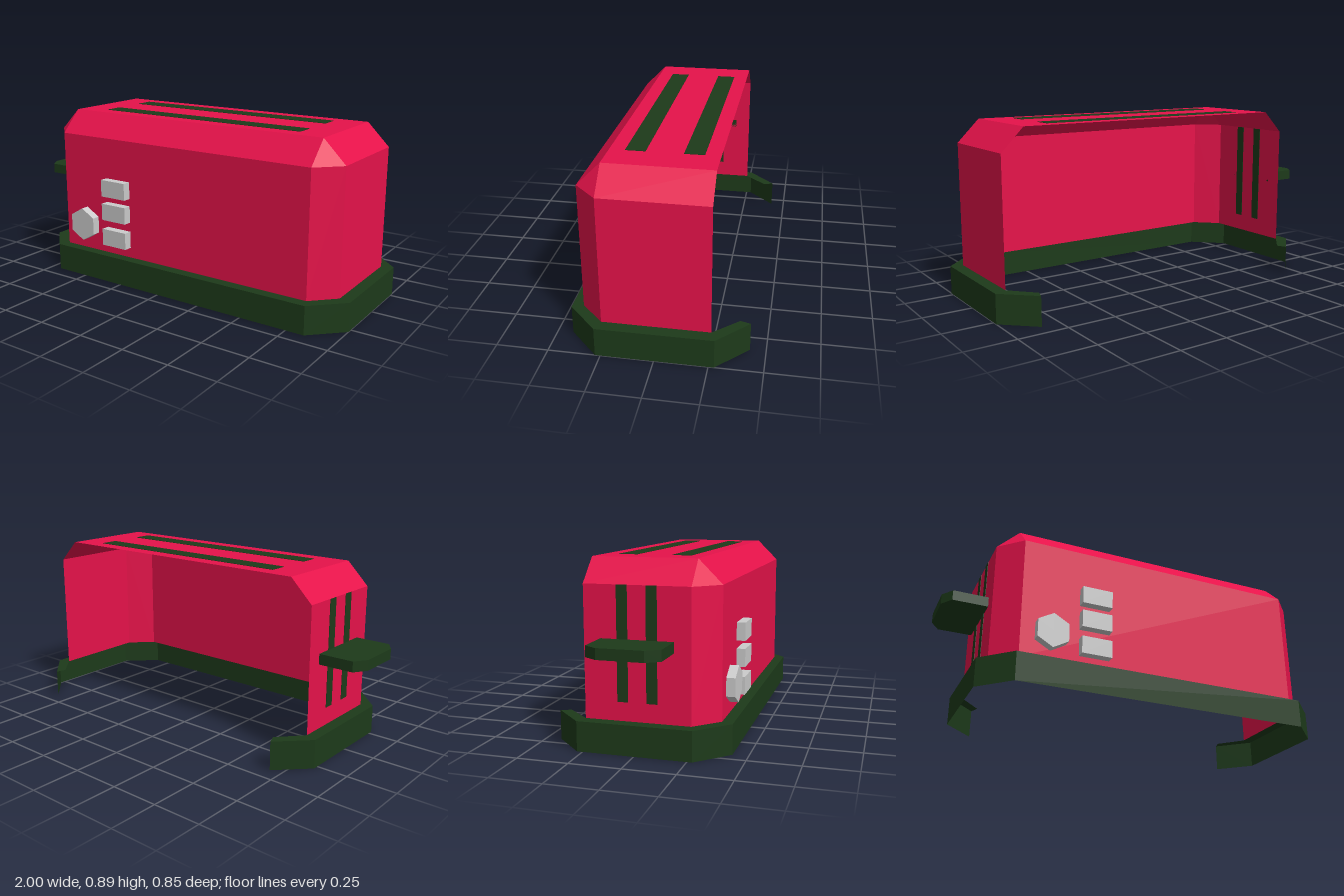
import * as THREE from 'three';

const mat = (color) => new THREE.MeshStandardMaterial({ color, flatShading: true, side: THREE.DoubleSide });

// Skin of quads between open rings; each ring is { y, pts: [[x, z], ...] }
function loft(rings) {
  const pos = [];
  for (let r = 0; r < rings.length - 1; r++) {
    const a = rings[r], b = rings[r + 1];
    for (let i = 0; i < a.pts.length - 1; i++) {
      const corner = (ring, k) => [ring.pts[k][0], ring.y, ring.pts[k][1]];
      const a0 = corner(a, i), a1 = corner(a, i + 1), b0 = corner(b, i), b1 = corner(b, i + 1);
      pos.push(...a0, ...a1, ...b1);
      // a corner facet narrows to a point
      if (b0[0] !== b1[0] || b0[2] !== b1[2]) pos.push(...a0, ...b1, ...b0);
    }
  }
  const g = new THREE.BufferGeometry();
  g.setAttribute('position', new THREE.Float32BufferAttribute(pos, 3));
  g.computeVertexNormals();
  return g;
}

export function createModel() {
  const group = new THREE.Group();
  const red = mat(0xe6124a), green = mat(0x1d3a1a), grey = mat(0xcccccc);
  const add = (name, geometry, material, x = 0, y = 0, z = 0) => {
    const mesh = new THREE.Mesh(geometry, material);
    mesh.name = name;
    mesh.position.set(x, y, z);
    group.add(mesh);
    return mesh;
  };
  const cx = 0.08; // middle of the body

  // Body shell, open at the back and underneath
  const wall = [[-0.78, -0.255], [-0.78, 0.255], [-0.665, 0.37], [0.825, 0.37], [0.94, 0.255], [0.94, -0.255]];
  const rim = [[-0.665, -0.255], [-0.665, 0.255], [-0.665, 0.255], [0.825, 0.255], [0.825, 0.255], [0.825, -0.255]];
  add('bodyShell', loft([{ y: 0.145, pts: wall }, { y: 0.775, pts: wall }, { y: 0.89, pts: rim }]), red);
  add('topPanel', new THREE.PlaneGeometry(1.49, 0.51).rotateX(-Math.PI / 2), red, cx, 0.89, 0);

  // Base skirt: outer wall with a ledge on top, its ends wrapping round the back
  const outer = [[-0.69, -0.425], [-0.84, -0.277], [-0.84, 0.275], [-0.69, 0.425],
    [0.845, 0.425], [1, 0.275], [1, -0.277], [0.845, -0.425]];
  const inner = [[-0.67, -0.375], [-0.78, -0.255], [-0.78, 0.255], [-0.665, 0.37],
    [0.825, 0.37], [0.94, 0.255], [0.94, -0.255], [0.83, -0.375]];
  add('baseSkirt', loft([{ y: 0, pts: outer }, { y: 0.145, pts: outer }, { y: 0.145, pts: inner }]), green);

  // Bread slots on top and lever tracks on the side
  for (const s of [-1, 1]) {
    add('breadSlot', new THREE.BoxGeometry(1.18, 0.004, 0.094), green, cx, 0.89, s * 0.134);
    add('leverTrack', new THREE.BoxGeometry(0.004, 0.54, 0.052), green, -0.78, 0.505, s * 0.07);
  }

  // Lever handle with clipped outer corners
  const lever = new THREE.Shape([[-0.78, -0.174], [-0.957, -0.174], [-1, -0.11], [-1, 0.11], [-0.957, 0.174], [-0.78, 0.174]]
    .map(([x, y]) => new THREE.Vector2(x, y)));
  add('leverHandle', new THREE.ExtrudeGeometry(lever, { depth: 0.052, bevelEnabled: false }).rotateX(-Math.PI / 2),
    green, 0, 0.475, 0);

  // Front buttons and six-sided dial
  for (const y of [0.515, 0.385, 0.245]) {
    add('button', new THREE.BoxGeometry(0.156, 0.09, 0.044), grey, -0.293, y, 0.393);
  }
  add('dial', new THREE.CylinderGeometry(0.09, 0.09, 0.044, 6).rotateX(Math.PI / 2), grey, -0.515, 0.29, 0.393);

  return group;
}
